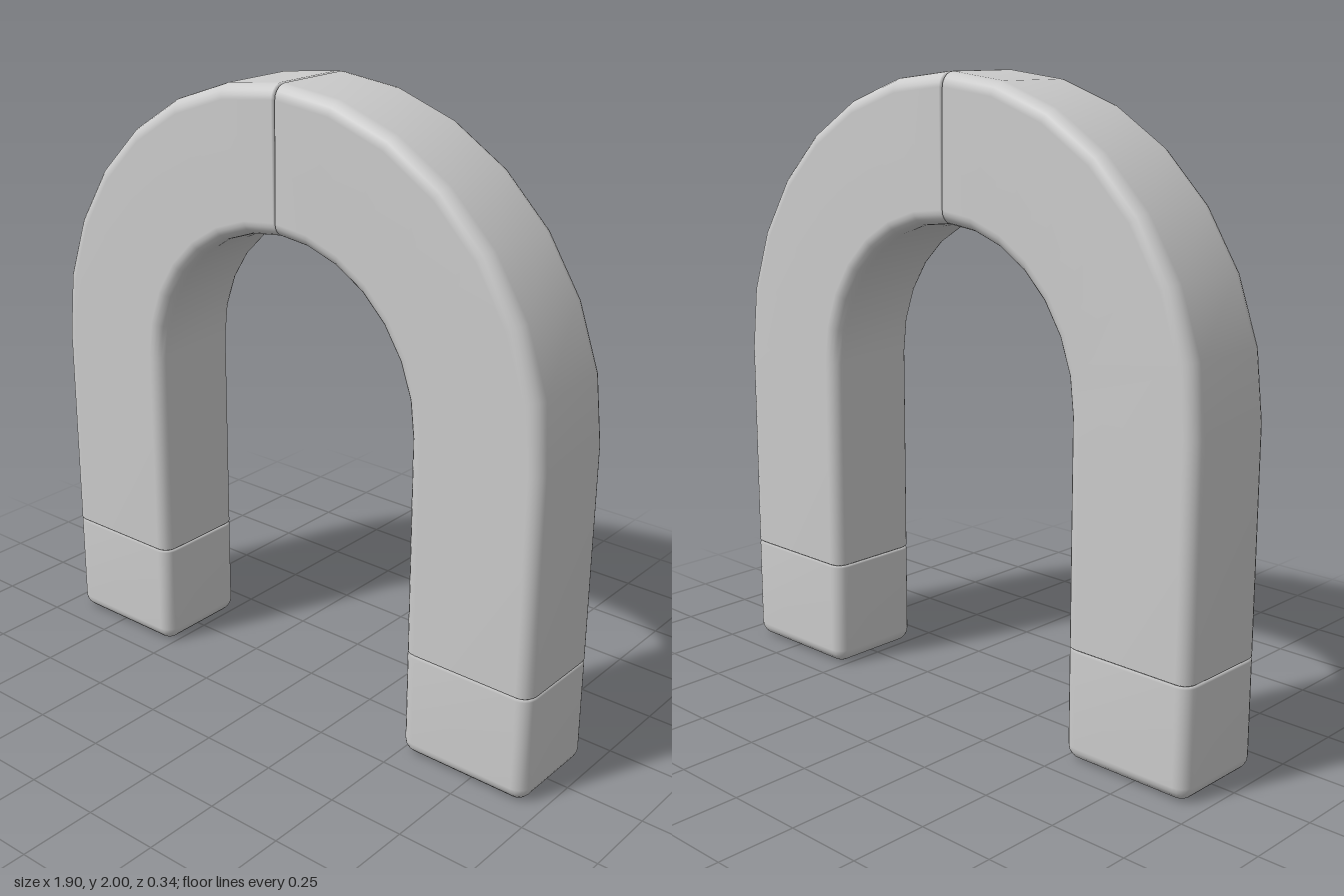
import * as THREE from 'three';

const INNER = 0.5, OUTER = 0.95, HALF_DEPTH = 0.17;
const MID = (INNER + OUTER) / 2, HALF_WIDTH = (OUTER - INNER) / 2;
const ARC_Y = 1.05, SEAM_Y = 0.35, EDGE = 0.045, GROOVE = 0.008;
const CORNER_STEPS = 5, ARC_STEPS = 7;

// Rounded rectangle shrunk by an inset, as [across, depth] pairs
function section(inset) {
  const r = Math.max(EDGE - inset, 0.004);
  const w = HALF_WIDTH - inset - r, d = HALF_DEPTH - inset - r;
  const points = [];
  [[1, 1], [-1, 1], [-1, -1], [1, -1]].forEach(([sx, sz], q) => {
    for (let i = 0; i <= CORNER_STEPS; i++) {
      const a = (q + i / CORNER_STEPS) * Math.PI / 2;
      points.push([sx * w + r * Math.cos(a), sz * d + r * Math.sin(a)]);
    }
  });
  return points;
}

// Stations along the right-hand limb: straight leg and arc
const leg = (y, inset = 0) => ({ x: MID, y, angle: 0, inset });
const arc = (angle, inset = 0) => ({
  x: MID * Math.cos(angle), y: ARC_Y + MID * Math.sin(angle), angle, inset,
});

// Skin rounded sections through the stations and close both ends
function sweep(stations) {
  const positions = [], index = [];
  const n = section(0).length;
  for (const s of stations) {
    for (const [u, v] of section(s.inset)) {
      positions.push(s.x + u * Math.cos(s.angle), s.y + u * Math.sin(s.angle), v);
    }
  }
  const last = stations.length - 1;
  for (let j = 0; j < last; j++) {
    for (let i = 0; i < n; i++) {
      const a = j * n + i, b = j * n + (i + 1) % n;
      index.push(a, a + n, b, b, a + n, b + n);
    }
  }
  // End caps
  const start = positions.length / 3;
  for (const s of [stations[0], stations[last]]) positions.push(s.x, s.y, 0);
  for (let i = 0; i < n; i++) {
    const k = (i + 1) % n;
    index.push(start, i, k, start + 1, last * n + k, last * n + i);
  }
  const geometry = new THREE.BufferGeometry();
  geometry.setAttribute('position', new THREE.Float32BufferAttribute(positions, 3));
  geometry.setIndex(index);
  geometry.computeVertexNormals();
  return geometry;
}

export function createModel() {
  const group = new THREE.Group();
  const material = new THREE.MeshStandardMaterial({ color: 0xcccccc });

  // Pole tip: rounded foot, then a small bevel at the seam
  const tip = [];
  for (let i = 0; i <= CORNER_STEPS; i++) {
    const a = i / CORNER_STEPS * Math.PI / 2;
    tip.push(leg(EDGE * (1 - Math.sin(a)), EDGE * (1 - Math.cos(a))));
  }
  tip.reverse();
  if (tip[0].y > tip[tip.length - 1].y) tip.reverse();
  const foot = tip.map((s) => leg(s.y, EDGE - Math.sqrt(Math.max(0, EDGE ** 2 - (EDGE - s.y) ** 2))));
  foot.push(leg(SEAM_Y - 0.006), leg(SEAM_Y, GROOVE));

  // Limb: straight leg, then a quarter arc up to the crown seam
  const limb = [leg(SEAM_Y, GROOVE), leg(SEAM_Y + 0.006)];
  for (let i = 0; i < ARC_STEPS; i++) limb.push(arc(i / ARC_STEPS * Math.PI / 2));
  limb.push(arc(Math.PI / 2 - 0.008), arc(Math.PI / 2, GROOVE));

  const tipGeometry = sweep(foot), limbGeometry = sweep(limb);

  // Each side is the other turned half a circle about the upright axis
  for (const [side, turn] of [['left', 0], ['right', Math.PI]]) {
    for (const [part, geometry] of [['PoleTip', tipGeometry], ['Limb', limbGeometry]]) {
      const mesh = new THREE.Mesh(geometry, material);
      mesh.name = side + part;
      mesh.rotation.y = turn;
      group.add(mesh);
    }
  }
  return group;
}
